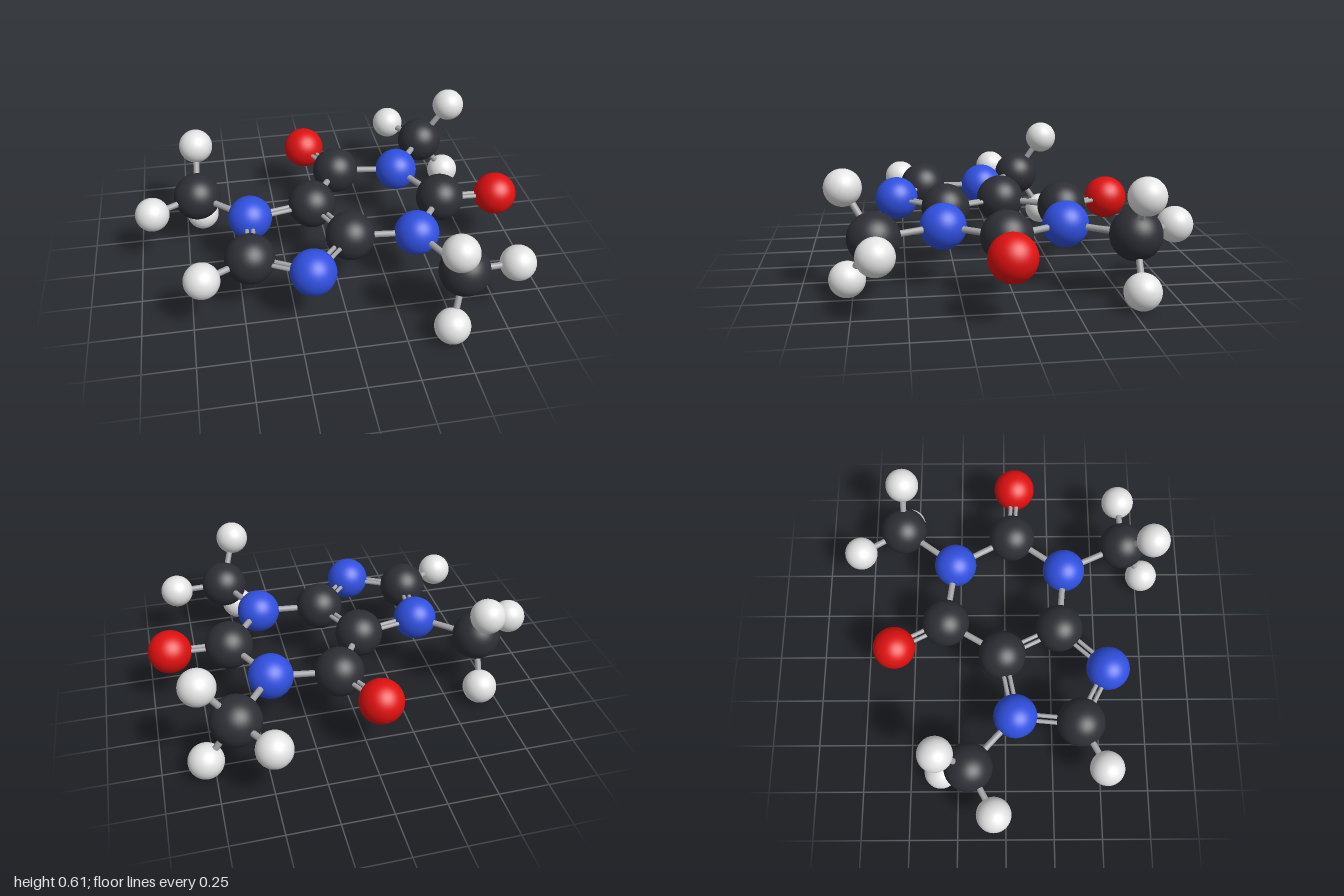
import * as THREE from 'three';

const MID = 0.3125; // height of the molecular plane
const RISE = 0.22; // height of the out-of-plane hydrogens above it

function material(name, color) {
  const m = new THREE.MeshStandardMaterial({ color });
  m.name = name;
  return m;
}

export function createModel() {
  const model = new THREE.Group();
  model.name = 'molecule';

  const kinds = {
    C: { name: 'carbon', radius: 0.123, mat: material('charcoal', 0x2e2f36) },
    N: { name: 'nitrogen', radius: 0.112, mat: material('blue', 0x3050e0) },
    O: { name: 'oxygen', radius: 0.11, mat: material('red', 0xe01010) },
    H: { name: 'hydrogen', radius: 0.087, mat: material('white', 0xe4e4e4) },
  };
  const bondMat = material('bond grey', 0xa4a4a8);
  for (const k of Object.values(kinds)) k.geo = new THREE.SphereGeometry(k.radius, 40, 28);

  // Atoms: kind, x, z and height relative to the plane
  const atoms = {
    C2: ['C', 0.585, 0.04], C4: ['C', 0.055, 0.285], C5: ['C', -0.09, -0.015],
    C6: ['C', 0.088, -0.312], C8: ['C', -0.452, 0.382],
    N1: ['N', 0.422, -0.265], N3: ['N', 0.388, 0.318],
    N7: ['N', -0.42, 0.05], N9: ['N', -0.168, 0.532],
    O2: ['O', 0.885, 0.056], O6: ['O', -0.05, -0.58],
    M1: ['C', 0.632, -0.55], M3: ['C', 0.535, 0.641], M7: ['C', -0.678, -0.187],
    H8: ['H', -0.688, 0.505],
  };
  const bonds = [
    ['N1', 'C2'], ['C2', 'N3'], ['N3', 'C4'], ['C5', 'C6'], ['C6', 'N1'],
    ['N1', 'M1'], ['N3', 'M3'], ['N7', 'M7'], ['C8', 'H8'],
    ['C2', 'O2', 2], ['C6', 'O6', 2],
    ['C4', 'C5', 2], ['C5', 'N7', 2], ['N7', 'C8', 2], ['C8', 'N9', 2], ['N9', 'C4', 2],
  ];

  // Methyl groups: one hydrogen in the plane, a pair above and below it
  const methyls = {
    M1: [[0.495, -0.78], [0.788, -0.545]],
    M3: [[0.802, 0.63], [0.455, 0.773]],
    M7: [[-0.913, -0.06], [-0.66, -0.336]],
  };
  for (const [id, [flat, pair]] of Object.entries(methyls)) {
    atoms[id + 'flat'] = ['H', ...flat];
    atoms[id + 'upper'] = ['H', ...pair, RISE];
    atoms[id + 'lower'] = ['H', ...pair, -RISE];
    for (const end of ['flat', 'upper', 'lower']) bonds.push([id, id + end]);
  }

  // Spheres
  const centres = {};
  for (const [id, [kind, x, z, dy = 0]] of Object.entries(atoms)) {
    const { name, geo, mat } = kinds[kind];
    const ball = new THREE.Mesh(geo, mat);
    ball.name = name;
    ball.position.set(x, MID + dy, z);
    centres[id] = ball.position;
    model.add(ball);
  }

  // Rods: one thick rod, or two thin ones side by side in the plane
  const up = new THREE.Vector3(0, 1, 0);
  for (const [from, to, order = 1] of bonds) {
    const a = centres[from], b = centres[to];
    const dir = b.clone().sub(a);
    const length = dir.length();
    dir.normalize();
    const side = new THREE.Vector3(dir.z, 0, -dir.x).normalize();
    const radius = order === 1 ? 0.016 : 0.011;
    for (const offset of order === 1 ? [0] : [-0.015, 0.015]) {
      const rod = new THREE.Mesh(new THREE.CylinderGeometry(radius, radius, length, 16, 1, true), bondMat);
      rod.name = order === 1 ? 'singleBond' : 'doubleBond';
      rod.position.copy(a).add(b).multiplyScalar(0.5).addScaledVector(side, offset);
      rod.quaternion.setFromUnitVectors(up, dir);
      model.add(rod);
    }
  }
  return model;
}
